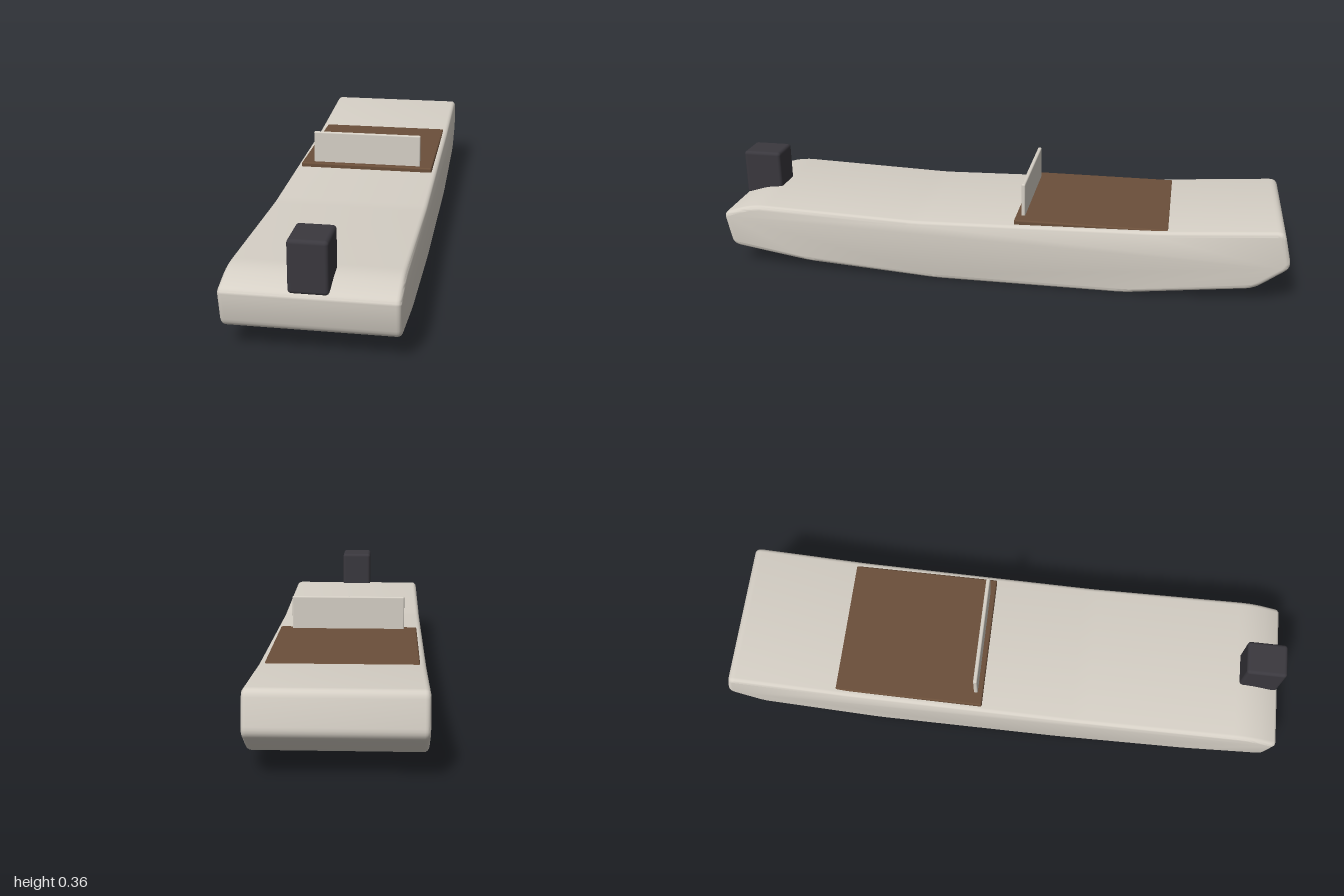
import * as THREE from 'three';
import { toCreasedNormals } from 'three/addons/utils/BufferGeometryUtils.js';
import { RoundedBoxGeometry } from 'three/addons/geometries/RoundedBoxGeometry.js';

const material = (color) => new THREE.MeshStandardMaterial({ color });

// Closed outline through [z, y, radius] corners, each eased with a curve
function roundedOutline(corners) {
  const shape = new THREE.Shape();
  const n = corners.length;
  const toward = (a, b, r) => {
    const d = Math.hypot(b[0] - a[0], b[1] - a[1]);
    const t = Math.min(r / d, 0.45);
    return [a[0] + (b[0] - a[0]) * t, a[1] + (b[1] - a[1]) * t];
  };
  corners.forEach((c, i) => {
    const start = toward(c, corners[(i + n - 1) % n], c[2]);
    const end = toward(c, corners[(i + 1) % n], c[2]);
    if (i === 0) shape.moveTo(...start);
    else shape.lineTo(...start);
    shape.quadraticCurveTo(c[0], c[1], ...end);
  });
  shape.closePath();
  return shape;
}

// Rounded block given by its limits on each axis
function block(name, [x0, x1], [y0, y1], [z0, z1], radius, mat) {
  const geometry = new RoundedBoxGeometry(x1 - x0, y1 - y0, z1 - z0, 3, radius);
  const mesh = new THREE.Mesh(geometry, mat);
  mesh.position.set((x0 + x1) / 2, (y0 + y1) / 2, (z0 + z1) / 2);
  mesh.name = name;
  return mesh;
}

export function createModel() {
  const model = new THREE.Group();
  model.name = 'flatBoat';
  const shell = material(0xd6d0c6);

  // Hull: side profile extruded across the beam with softened gunwales
  const profile = [
    [1.0, 0.2, 0.02], [0.89, 0.236, 0.05], [0.29, 0.216, 0.03],
    [-0.55, 0.237, 0.03], [-0.97, 0.268, 0.025], [-1.0, 0.14, 0.025],
    [-0.885, 0.055, 0.03], [-0.45, 0.002, 0.03], [0.22, 0.002, 0.03],
    [0.69, 0.032, 0.03], [0.975, 0.077, 0.025],
  ];
  const halfBeam = 0.265, bevel = 0.016;
  const hullGeometry = new THREE.ExtrudeGeometry(roundedOutline(profile), {
    depth: 2 * (halfBeam - bevel), curveSegments: 5,
    bevelThickness: bevel, bevelSize: bevel, bevelOffset: -bevel, bevelSegments: 4,
  });
  hullGeometry.translate(0, 0, bevel - halfBeam);
  hullGeometry.rotateY(-Math.PI / 2);
  const hull = new THREE.Mesh(toCreasedNormals(hullGeometry, 0.6), shell);
  hull.name = 'hull';
  model.add(hull);

  // Wooden deck panel, upright screen and outboard motor
  model.add(block('deckPanel', [-0.245, 0.245], [0.215, 0.241], [-0.59, -0.06], 0.006, material(0x6b4f3a)));
  model.add(block('screen', [-0.2, 0.2], [0.215, 0.357], [-0.093, -0.079], 0.005, shell));
  model.add(block('motor', [-0.06, 0.06], [0.2, 0.365], [0.852, 0.992], 0.012, material(0x3a383e)));
  return model;
}
